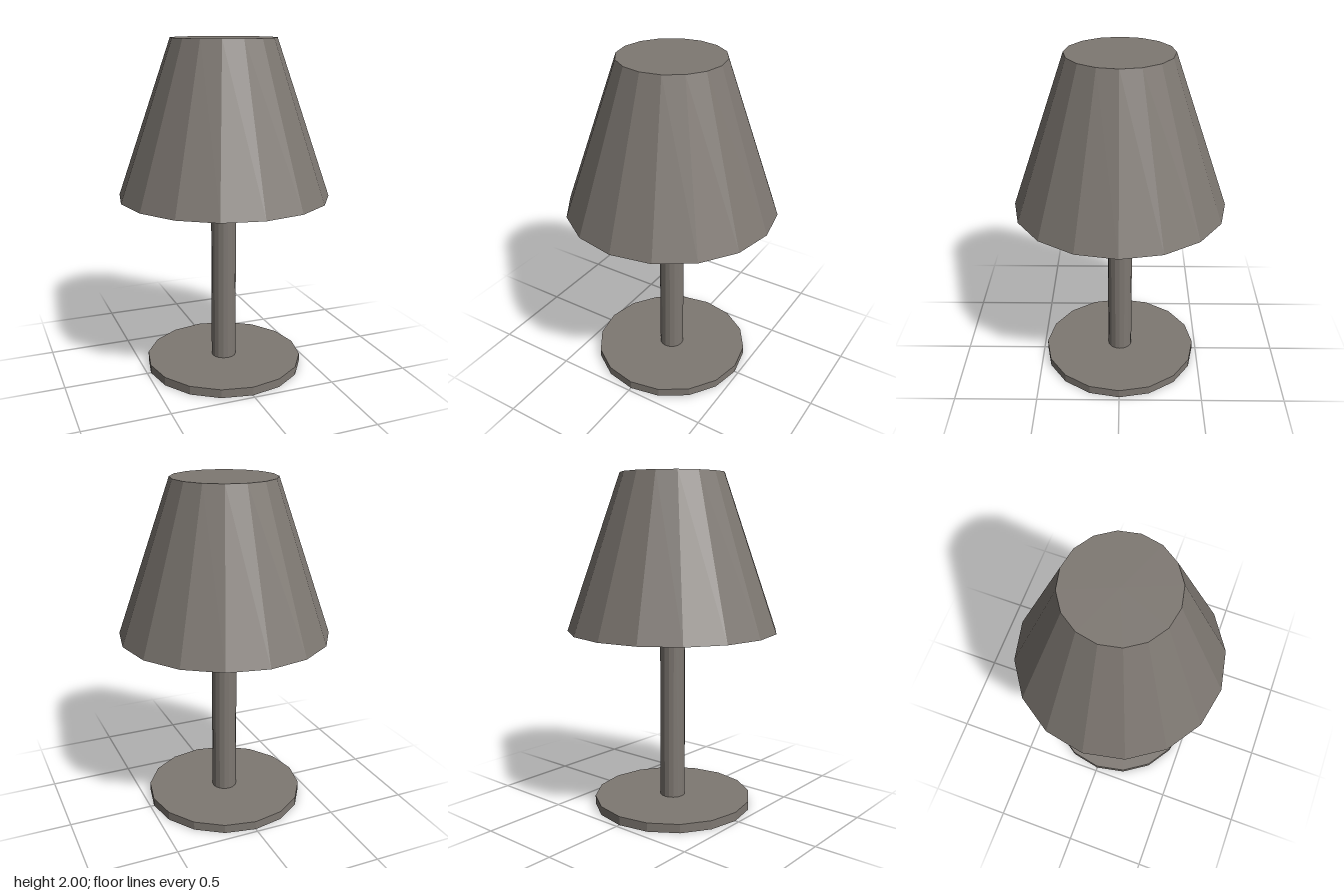
import * as THREE from 'three';

const SIDES = 16;

export function createModel() {
  const group = new THREE.Group();
  const warmGrey = new THREE.MeshStandardMaterial({ color: 0x7e7872 });

  // Turned part with flat facets, from a profile of [radius, height] points
  function addTurned(name, profile) {
    const points = profile.map(([r, y]) => new THREE.Vector2(r, y));
    const geometry = new THREE.LatheGeometry(points, SIDES).toNonIndexed();
    geometry.computeVertexNormals();
    const mesh = new THREE.Mesh(geometry, warmGrey);
    mesh.name = name;
    group.add(mesh);
  }

  // Flat round foot
  addTurned('base', [[0, 0], [0.477, 0], [0.477, 0.052], [0, 0.052]]);

  // Upright post, open-ended, from the foot to the ceiling of the shade
  addTurned('pole', [[0.075, 0.052], [0.075, 1.9]]);

  // Thick hollow shade, open below and closed on top
  addTurned('lampshade', [
    [0, 1.9], [0.24, 1.9], [0.519, 1.082],
    [0.625, 1.082], [0.306, 2], [0, 2],
  ]);

  return group;
}
